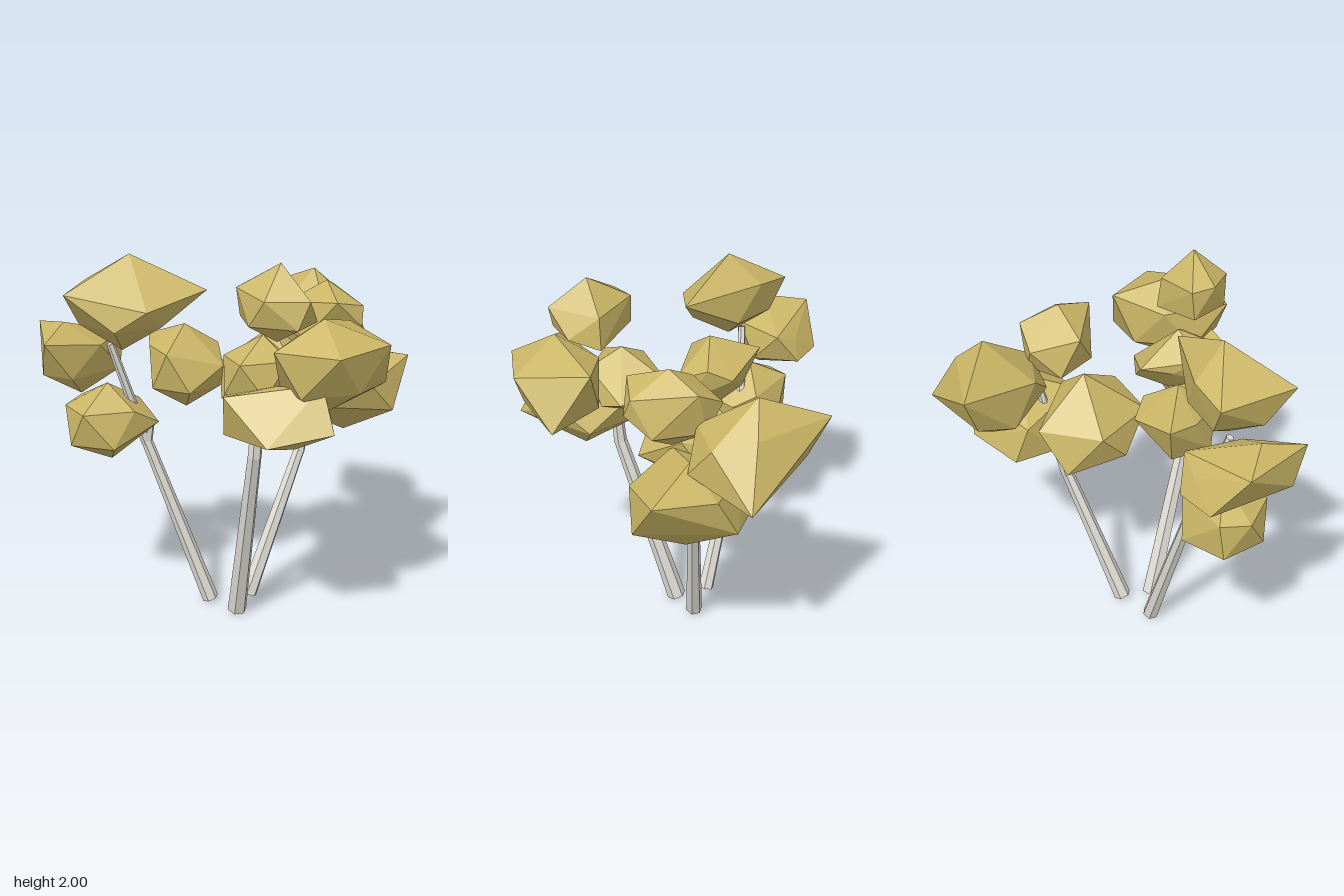
import * as THREE from 'three';
import { ConvexGeometry } from 'three/addons/geometries/ConvexGeometry.js';

const leafMat = new THREE.MeshStandardMaterial({ color: 0xcbb666, flatShading: true });
leafMat.name = 'ochre leaves';
const barkMat = new THREE.MeshStandardMaterial({ color: 0xe0ded6, flatShading: true });
barkMat.name = 'pale bark';

// Tapered six-sided branch between two points
function branch(name, a, b, r0, r1) {
  const from = new THREE.Vector3(...a), to = new THREE.Vector3(...b);
  const dir = to.clone().sub(from);
  const mesh = new THREE.Mesh(new THREE.CylinderGeometry(r1, r0, dir.length(), 6), barkMat);
  mesh.position.copy(from).add(to).multiplyScalar(0.5);
  mesh.quaternion.setFromUnitVectors(new THREE.Vector3(0, 1, 0), dir.normalize());
  mesh.name = name;
  return mesh;
}

// Faceted leaf clump: two rings of five corners plus a top and a bottom, filling a box;
// each tip pulls the nearest free corner out to itself
function clump(min, max, turn, ...tips) {
  const lo = new THREE.Vector3(...min), hi = new THREE.Vector3(...max);
  const mid = lo.clone().add(hi).multiplyScalar(0.5);
  const half = hi.clone().sub(lo).multiplyScalar(0.5);
  const corners = [new THREE.Vector3(0, 1, 0), new THREE.Vector3(0, -1, 0)];
  for (let i = 0; i < 10; i++) {
    const a = THREE.MathUtils.degToRad(turn + 36 * i);
    corners.push(new THREE.Vector3(1.02 * Math.cos(a), i % 2 ? -0.447 : 0.447, 1.02 * Math.sin(a)));
  }
  corners.forEach((v) => v.multiply(half).add(mid));
  const free = new Set(corners);
  for (const tip of tips) {
    const t = new THREE.Vector3(...tip);
    const near = [...free].reduce((a, b) => (a.distanceTo(t) < b.distanceTo(t) ? a : b));
    near.copy(t);
    free.delete(near);
  }
  const mesh = new THREE.Mesh(new ConvexGeometry(corners), leafMat);
  mesh.name = 'leafClump';
  return mesh;
}

function tree(name, ...parts) {
  const g = new THREE.Group();
  g.name = name;
  g.add(...parts);
  return g;
}

export function createModel() {
  const model = new THREE.Group();
  model.name = 'treeCluster';

  model.add(tree('frontTree',
    branch('trunk', [-0.2, 0.01, 0.025], [-0.35, 1.02, 0.3], 0.053, 0.036),
    branch('upperTrunk', [-0.35, 1.01, 0.3], [-0.35, 1.4, 0.33], 0.036, 0.027),
    // large front clump
    clump([-0.46, 1.29, 0.43], [0.08, 1.74, 0.82], -18,
      [-0.24, 1.75, 0.64], [0.1, 1.66, 0.52], [0.13, 1.38, 0.73], [-0.04, 1.63, 0.88],
      [-0.37, 1.62, 0.85], [-0.51, 1.63, 0.57], [-0.18, 1.28, 0.62]),
    // highest clump
    clump([-0.5, 1.62, 0.22], [-0.17, 1.98, 0.64], 7,
      [-0.33, 2.0, 0.45], [-0.5, 1.85, 0.5], [-0.17, 1.84, 0.42], [-0.15, 1.67, 0.42],
      [-0.35, 1.85, 0.65], [-0.35, 1.87, 0.22]),
    // low front clump
    clump([-0.6, 1.09, 0.18], [-0.17, 1.42, 0.76], 36,
      [-0.34, 1.47, 0.72], [-0.63, 1.4, 0.36], [-0.61, 1.2, 0.62], [-0.38, 1.26, 0.83],
      [-0.14, 1.2, 0.5], [-0.28, 1.08, 0.5]),
    // inner clump
    clump([-0.5, 1.25, 0.12], [-0.06, 1.62, 0.46], 19,
      [-0.27, 1.45, 0.12], [-0.11, 1.48, 0.09], [-0.04, 1.4, 0.35])));

  model.add(tree('backTree',
    branch('trunk', [-0.22, 0.015, -0.16], [-0.43, 0.94, -0.41], 0.044, 0.03),
    branch('upperTrunk', [-0.43, 0.93, -0.41], [-0.61, 1.5, -0.46], 0.029, 0.02),
    branch('sideBranch', [-0.43, 0.93, -0.41], [-0.42, 1.05, -0.39], 0.029, 0.024),
    // rear clump
    clump([-0.93, 1.25, -0.87], [-0.4, 1.6, -0.47], 19,
      [-0.97, 1.55, -0.53], [-0.73, 1.57, -0.88], [-0.56, 1.35, -0.88], [-0.92, 1.37, -0.62],
      [-0.7, 1.23, -0.6], [-0.76, 1.61, -0.64], [-0.47, 1.45, -0.73]),
    // high slanting clump
    clump([-0.8, 1.5, -0.6], [-0.4, 1.94, -0.15], 36,
      [-0.9, 1.8, -0.45], [-0.57, 1.79, -0.69], [-0.31, 1.79, -0.06], [-0.55, 1.965, -0.36],
      [-0.6, 1.48, -0.38], [-0.65, 1.72, -0.13]),
    // inner clump
    clump([-0.52, 1.16, -0.38], [-0.15, 1.6, -0.02], 19,
      [-0.33, 1.5, -0.48], [-0.13, 1.42, -0.27], [-0.26, 1.4, 0]),
    // lowest clump
    clump([-0.81, 0.86, -0.73], [-0.4, 1.27, -0.33], 11,
      [-0.6, 1.28, -0.51], [-0.81, 1.16, -0.46], [-0.59, 0.86, -0.51], [-0.43, 1.07, -0.31],
      [-0.6, 1.17, -0.73])));

  model.add(tree('sideTree',
    branch('trunk', [-0.04, 0.018, -0.04], [0.28, 0.81, 0.045], 0.047, 0.032),
    branch('upperTrunk', [0.28, 0.8, 0.045], [0.34, 1.05, 0.03], 0.032, 0.028),
    branch('topBranch', [0.34, 1.04, 0.03], [0.41, 1.38, 0.02], 0.026, 0.02),
    // inner clump
    clump([-0.12, 1.01, -0.3], [0.35, 1.48, 0.22], 36,
      [0.16, 1.52, -0.05], [-0.15, 1.3, 0.01], [0.02, 1.3, -0.31], [0.36, 1.28, -0.25],
      [0.2, 1.08, -0.33], [0.13, 1.2, 0.3], [0.16, 1.0, 0], [0.37, 1.12, -0.03]),
    // small upper clump
    clump([0.16, 1.37, -0.06], [0.5, 1.77, 0.39], 0,
      [0.33, 1.775, 0.18], [0.51, 1.71, 0.08], [0.2, 1.7, 0.36], [0.33, 1.36, 0.17],
      [0.34, 1.56, 0.41], [0.43, 1.62, -0.06]),
    // large pointed clump
    clump([0.37, 1.21, -0.36], [0.82, 1.66, 0.12], -18,
      [0.64, 1.74, -0.17], [0.65, 1.6, -0.53], [0.97, 1.31, -0.05], [0.8, 1.6, -0.12],
      [0.6, 1.35, 0.16], [0.6, 1.2, -0.17], [0.62, 1.38, -0.43], [0.36, 1.4, -0.02]),
    // low side clump
    clump([0.26, 0.92, -0.18], [0.77, 1.34, 0.42], 36,
      [0.53, 1.37, 0.13], [0.8, 1.31, 0.38], [0.25, 1.3, 0.15], [0.23, 1.12, 0.28],
      [0.6, 1.05, 0.435], [0.76, 1.08, -0.05], [0.53, 0.895, 0.15], [0.5, 1.03, -0.2],
      [0.79, 1.29, 0.06])));

  return model;
}
